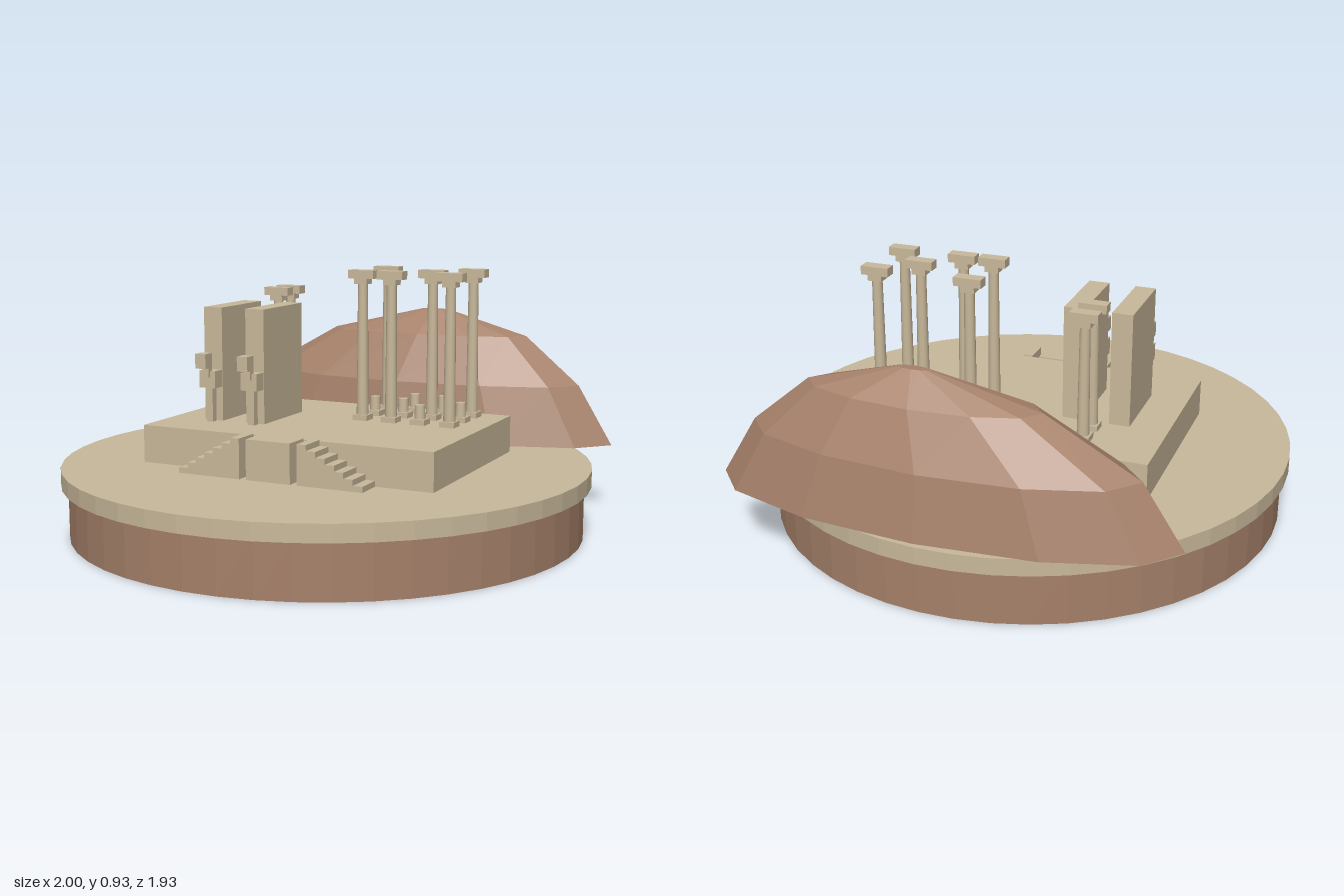
import * as THREE from 'three';

const sand = new THREE.MeshStandardMaterial({ color: 0xc9b99b });
sand.name = 'sandstone';
const rock = new THREE.MeshStandardMaterial({ color: 0xa6816a });
rock.name = 'brownRock';

const TURN = -0.35;   // ruins and hill share one heading
const GROUND = 0.25;  // top of the disc
const FLOOR = 0.385;  // top of the terrace

function flat(geometry) {
  const g = geometry.index ? geometry.toNonIndexed() : geometry;
  g.computeVertexNormals();
  return g;
}

function add(parent, name, geometry, material, x = 0, y = 0, z = 0) {
  const mesh = new THREE.Mesh(geometry, material);
  mesh.name = name;
  mesh.position.set(x, y, z);
  parent.add(mesh);
  return mesh;
}

// Box given by its centre in plan and its bottom and top heights
function box(parent, name, x, z, y0, y1, w, d) {
  return add(parent, name, new THREE.BoxGeometry(w, y1 - y0, d), sand, x, (y0 + y1) / 2, z);
}

function shaft(parent, name, y0, y1, rBottom, rTop) {
  return add(parent, name, new THREE.CylinderGeometry(rTop, rBottom, y1 - y0, 12), sand, 0, (y0 + y1) / 2, 0);
}

function disc(parent, name, radius, y0, y1, material) {
  add(parent, name, flat(new THREE.CylinderGeometry(radius, radius, y1 - y0, 48)), material, -0.05, (y0 + y1) / 2, 0.005);
}

// Faceted elongated hill: twelve-sided rings [height, scale, shift along its length]
function hillGeometry() {
  const rings = [[0, 1, 0], [0.22, 0.83, 0.005], [0.4, 0.5, 0.06], [0.49, 0.07, 0.09]];
  const n = 12, points = [], index = [];
  for (const [y, s, shift] of rings) {
    for (let i = 0; i < n; i++) {
      const a = (i / n) * Math.PI * 2;
      points.push(shift + 0.815 * s * Math.cos(a), y, 0.24 * s * Math.sin(a));
    }
  }
  const bottom = rings.length * n, top = bottom + 1, last = (rings.length - 1) * n;
  points.push(0, 0, 0, 0.09, 0.49, 0);
  for (let i = 0; i < n; i++) {
    const j = (i + 1) % n;
    for (let r = 0; r < last; r += n) {
      index.push(r + i, r + n + i, r + j, r + j, r + n + i, r + n + j);
    }
    index.push(bottom, i, j, top, last + j, last + i);
  }
  const g = new THREE.BufferGeometry();
  g.setAttribute('position', new THREE.Float32BufferAttribute(points, 3));
  g.setIndex(index);
  return flat(g);
}

// Solid flight of seven steps running along the terrace wall, side = 1 or -1
function stairs(parent, side) {
  const steps = 7, inner = 0.11, run = 0.24 / steps, rise = 0.02;
  const s = new THREE.Shape();
  s.moveTo(side * inner, 0);
  for (let i = 0; i < steps; i++) {
    const h = rise * (steps - i);
    s.lineTo(side * (inner + run * i), h);
    s.lineTo(side * (inner + run * (i + 1)), h);
  }
  s.lineTo(side * (inner + run * steps), 0);
  const g = new THREE.ExtrudeGeometry(s, { depth: 0.1, bevelEnabled: false });
  add(parent, side > 0 ? 'leftStairs' : 'rightStairs', g, sand, 0, GROUND, 0.375);
}

// Standing column with plinth, capital and a piece of broken lintel
function column(parent, x, z, top) {
  const g = new THREE.Group();
  g.name = 'column';
  g.position.set(x, 0, z);
  box(g, 'plinth', 0, 0, FLOOR, FLOOR + 0.02, 0.056, 0.056);
  shaft(g, 'shaft', FLOOR + 0.02, top - 0.05, 0.022, 0.018);
  box(g, 'capital', 0, 0, top - 0.05, top - 0.03, 0.05, 0.045);
  box(g, 'lintel', 0, 0, top - 0.03, top, 0.1, 0.045);
  parent.add(g);
}

// Broken column stump
function stump(parent, x, z) {
  const g = new THREE.Group();
  g.name = 'columnStump';
  g.position.set(x, 0, z);
  box(g, 'plinth', 0, 0, FLOOR, FLOOR + 0.02, 0.056, 0.056);
  shaft(g, 'stumpShaft', FLOOR + 0.02, 0.455, 0.02, 0.018);
  parent.add(g);
}

// Blocky animal figure in front of a gate tower
function statue(parent, x) {
  const g = new THREE.Group();
  g.name = 'statue';
  g.position.set(x, 0, 0);
  box(g, 'leg', 0, 0.2, FLOOR, 0.51, 0.026, 0.026);
  box(g, 'body', 0, 0.2, 0.51, 0.572, 0.065, 0.055);
  box(g, 'neck', 0, 0.226, 0.55, 0.6, 0.026, 0.026);
  box(g, 'head', 0, 0.25, 0.585, 0.638, 0.042, 0.045);
  parent.add(g);
}

export function createModel() {
  const model = new THREE.Group();
  model.name = 'ruinedPalaceTerrace';

  // Round ground
  disc(model, 'earthBase', 0.925, 0, 0.19, rock);
  disc(model, 'groundDisc', 0.95, 0.19, GROUND, sand);

  // Hill behind the ruins
  const hill = add(model, 'hill', hillGeometry(), rock, 0.235, GROUND, -0.625);
  hill.rotation.y = TURN;

  // Terrace with double stairs and a central landing
  const ruins = new THREE.Group();
  ruins.name = 'ruins';
  ruins.position.set(-0.04, 0, -0.025);
  ruins.rotation.y = TURN;
  model.add(ruins);
  box(ruins, 'terrace', 0, 0, GROUND, FLOOR, 1.117, 0.75);
  box(ruins, 'landing', 0, 0.425, GROUND, 0.39, 0.168, 0.1);
  stairs(ruins, 1);
  stairs(ruins, -1);

  // Gate towers and their statues
  for (const x of [-0.384, -0.213]) {
    box(ruins, 'gateTower', x, 0.033, FLOOR, 0.797, 0.074, 0.29);
    statue(ruins, x + 0.002);
  }

  // Pair of shorter columns behind the gate
  for (const z of [-0.262, -0.165]) column(ruins, -0.3, z, 0.847);

  // Hall grid: C is a standing column, s a stump
  ['CssC', 'ssCs', 'CCsC'].forEach((row, j) => {
    [...row].forEach((kind, i) => {
      const x = 0.097 + 0.113 * i, z = -0.293 + 0.112 * j;
      if (kind === 'C') column(ruins, x, z, 0.93);
      else stump(ruins, x, z);
    });
  });

  return model;
}
